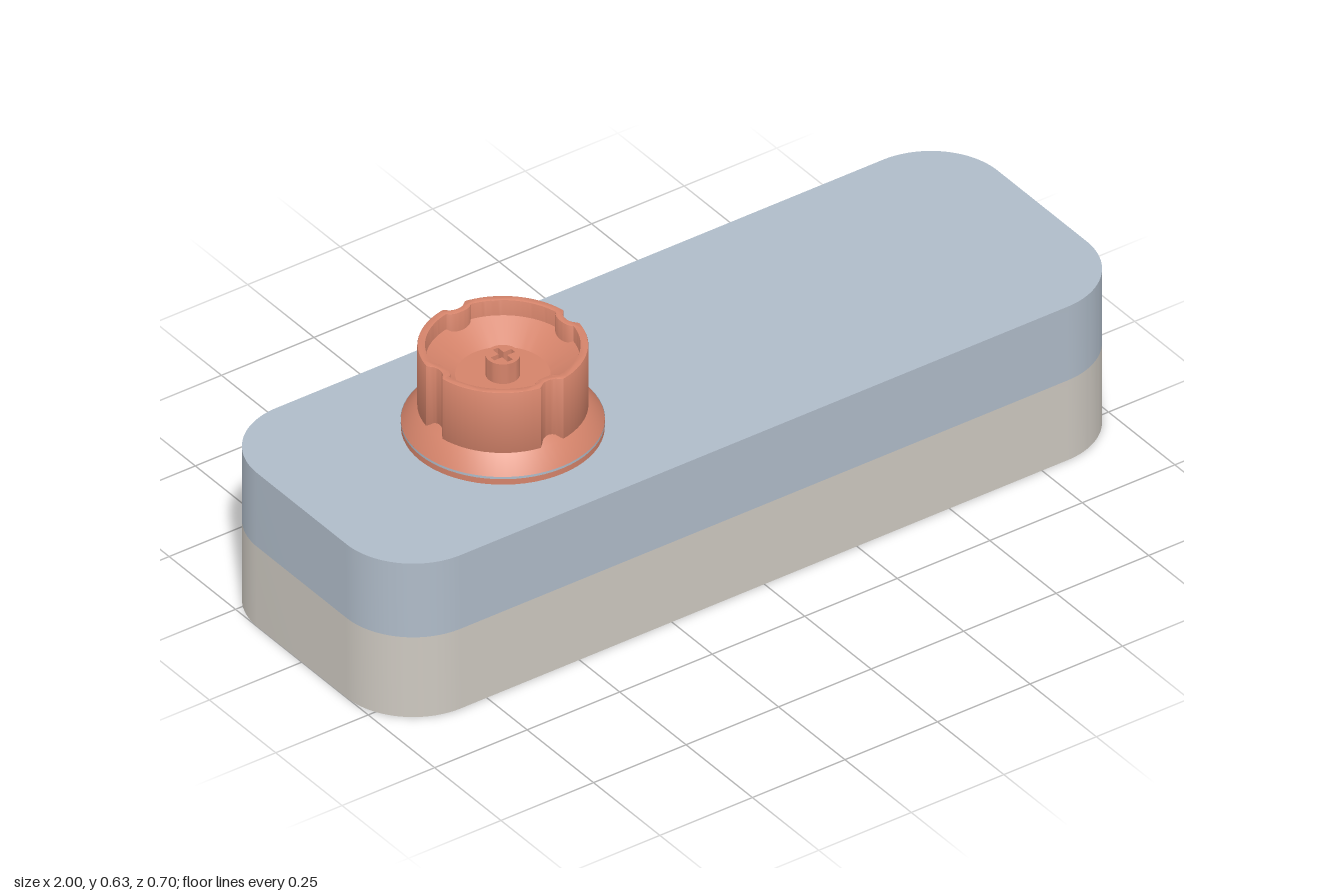
import * as THREE from 'three';
import { toCreasedNormals } from 'three/addons/utils/BufferGeometryUtils.js';

const paint = (name, color) => Object.assign(new THREE.MeshStandardMaterial({ color }), { name });

// Extrude a plan outline upwards from y0 to y1, with a small optional bevel.
function prism(shape, y0, y1, bevel = 0) {
  const g = new THREE.ExtrudeGeometry(shape, {
    depth: y1 - y0 - 2 * bevel, curveSegments: 16,
    bevelEnabled: bevel > 0, bevelThickness: bevel, bevelSize: bevel,
    bevelOffset: -bevel, bevelSegments: 2,
  });
  g.rotateX(-Math.PI / 2).translate(0, y0 + bevel, 0);
  return toCreasedNormals(g, 0.6);
}

function lathe(points) {
  const g = new THREE.LatheGeometry(points.map(([r, y]) => new THREE.Vector2(r, y)), 64);
  return toCreasedNormals(g, 0.4);
}

function roundedRect(w, d, r) {
  const s = new THREE.Shape();
  s.absarc(w - r, d - r, r, 0, Math.PI / 2);
  s.absarc(-w + r, d - r, r, Math.PI / 2, Math.PI);
  s.absarc(-w + r, -d + r, r, Math.PI, Math.PI * 1.5);
  s.absarc(w - r, -d + r, r, Math.PI * 1.5, Math.PI * 2);
  s.closePath();
  return s;
}

// Circle with four rounded grooves pressed inwards.
function groovedCircle(radius, depth, halfWidth) {
  const pts = [];
  const n = 192;
  for (let i = 0; i < n; i++) {
    const a = (i / n) * Math.PI * 2;
    const off = a - Math.round(a / (Math.PI / 2)) * (Math.PI / 2);
    const t = Math.min(1, Math.abs(off) * radius / halfWidth);
    const r = radius - depth * Math.sqrt(1 - t * t);
    pts.push(new THREE.Vector2(r * Math.cos(a), r * Math.sin(a)));
  }
  return pts;
}

// Plus-shaped outline.
function plus(arm, half) {
  const pts = [];
  for (let q = 0; q < 4; q++) {
    const c = Math.cos(q * Math.PI / 2), s = Math.sin(q * Math.PI / 2);
    for (const [x, y] of [[arm, -half], [arm, half], [half, half]])
      pts.push(new THREE.Vector2(x * c - y * s, x * s + y * c));
  }
  return pts;
}

export function createModel() {
  const model = new THREE.Group();
  const beige = paint('warmGrey', 0xcdc8c0);
  const blue = paint('blueGrey', 0xafbbc8);
  const orange = paint('terracotta', 0xd4836a);
  blue.side = orange.side = THREE.DoubleSide;

  const add = (parent, name, geometry, material) => {
    const m = new THREE.Mesh(geometry, material);
    m.name = name;
    parent.add(m);
  };

  // Two-tone case
  const plan = roundedRect(1, 0.348, 0.18);
  add(model, 'lowerCase', prism(plan, 0, 0.213), beige);
  add(model, 'upperCase', prism(plan, 0.213, 0.41), blue);

  // Knob assembly
  const knob = new THREE.Group();
  knob.name = 'knob';
  knob.position.x = -0.457;
  model.add(knob);

  // Flange with a slope that runs on into the wall grooves
  add(knob, 'flange', lathe([[0.224, 0.41], [0.224, 0.43], [0.222, 0.434],
    [0.188, 0.47], [0.164, 0.49]]), orange);
  add(knob, 'seamRing', lathe([[0.2247, 0.425], [0.2247, 0.431]]), blue);

  // Grooved cup wall
  const wall = new THREE.Shape(groovedCircle(0.188, 0.017, 0.026));
  wall.holes.push(new THREE.Path(groovedCircle(0.17, 0.015, 0.032)));
  add(knob, 'cupWall', prism(wall, 0.465, 0.63, 0.003), orange);

  // Dished floor inside the cup
  add(knob, 'cupFloor', lathe([[0.171, 0.59], [0.105, 0.55], [0, 0.55]]), orange);

  // Centre post with a cross socket
  const post = new THREE.Shape().absarc(0, 0, 0.038, 0, Math.PI * 2);
  post.holes.push(new THREE.Path(plus(0.028, 0.007)));
  add(knob, 'centrePost', prism(post, 0.55, 0.602), orange);

  return model;
}
